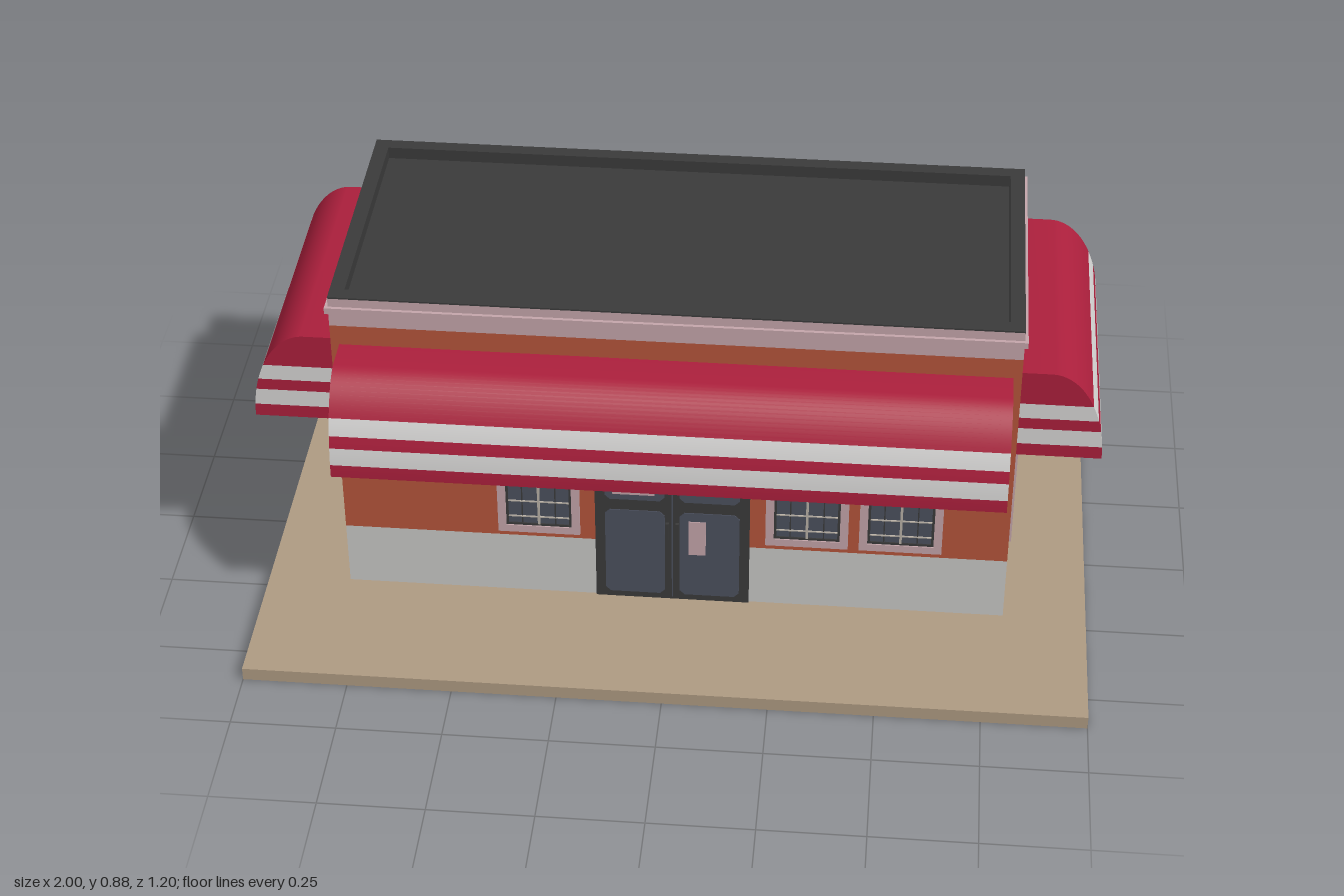
import * as THREE from 'three';
import { toCreasedNormals } from 'three/addons/utils/BufferGeometryUtils.js';

const mat = (name, color) => {
  const m = new THREE.MeshStandardMaterial({ color });
  m.name = name;
  return m;
};

export function createModel() {
  const M = {
    paving: mat('paving tan', 0xae9a82),
    plinth: mat('plinth grey', 0xc8c8c6),
    brick: mat('brick orange', 0xb5553a),
    trim: mat('trim pink', 0xc4a5aa),
    roof: mat('roof charcoal', 0x3a3a3a),
    red: mat('awning red', 0xab1f3c),
    white: mat('awning white', 0xd6d5d4),
    glass: mat('glass slate', 0x4b505e),
    bar: mat('glazing bar beige', 0xb9b1a6),
  };
  const model = new THREE.Group();
  model.name = 'shop';

  const add = (parent, name, geo, material, x = 0, y = 0, z = 0) => {
    const mesh = new THREE.Mesh(geo, material);
    mesh.name = name;
    mesh.position.set(x, y, z);
    parent.add(mesh);
    return mesh;
  };
  // Box given by its limits
  const block = (parent, name, material, x0, x1, y0, y1, z0, z1) =>
    add(parent, name, new THREE.BoxGeometry(x1 - x0, y1 - y0, z1 - z0), material,
      (x0 + x1) / 2, (y0 + y1) / 2, (z0 + z1) / 2);
  // Rectangular frame in the xy plane, extruded toward +z
  const frameGeo = (w, h, t, depth) => {
    const rect = (Type, a, b) => new Type([
      new THREE.Vector2(-a, -b), new THREE.Vector2(a, -b),
      new THREE.Vector2(a, b), new THREE.Vector2(-a, b)]);
    const shape = rect(THREE.Shape, w / 2, h / 2);
    shape.holes.push(rect(THREE.Path, w / 2 - t, h / 2 - t));
    return new THREE.ExtrudeGeometry(shape, { depth, bevelEnabled: false });
  };
  // Pane with chamfered corners
  const paneGeo = (x0, x1, y0, y1, c, depth) => new THREE.ExtrudeGeometry(
    new THREE.Shape([[x0 + c, y0], [x1 - c, y0], [x1, y0 + c], [x1, y1 - c],
      [x1 - c, y1], [x0 + c, y1], [x0, y1 - c], [x0, y0 + c]]
      .map(p => new THREE.Vector2(...p))), { depth, bevelEnabled: false });

  const X = 0.8, ZB = -0.44, ZF = 0.25, ZC = (ZB + ZF) / 2, W = 2 * X, D = ZF - ZB;

  // Ground slab and walls
  block(model, 'groundSlab', M.paving, -1, 1, 0, 0.033, -0.6, 0.6);
  block(model, 'plinth', M.plinth, -X, X, 0.033, 0.203, ZB, ZF);
  block(model, 'brickWalls', M.brick, -X, X, 0.203, 0.797, ZB, ZF);

  // Cornice, parapet and sunken roof
  block(model, 'corniceBase', M.trim, -X, X, 0.797, 0.842, ZB, ZF);
  const ring = (name, material, out, t, y0, y1) => {
    const geo = frameGeo(W + 2 * out, D + 2 * out, t, y1 - y0).rotateX(-Math.PI / 2);
    add(model, name, geo, material, 0, y0, ZC);
  };
  ring('corniceMoulding', M.trim, 0.008, 0.02, 0.834, 0.85);
  ring('corniceTop', M.trim, 0, 0.01, 0.842, 0.872);
  ring('parapetLining', M.roof, -0.01, 0.025, 0.842, 0.872);
  ring('parapetCap', M.roof, 0, 0.035, 0.872, 0.876);
  block(model, 'roofDeck', M.roof, -X + 0.03, X - 0.03, 0.842, 0.846, ZB + 0.03, ZF - 0.03);

  // Striped awnings: a rounded profile cut into horizontal bands
  const AY0 = 0.51, AY1 = 0.745;
  const reach = y => 0.07 + 0.13 * Math.sqrt(Math.max(0, 1 - ((y - AY0) / (AY1 - AY0)) ** 2));
  const levels = [AY0, 0.543, 0.587, 0.617, 0.658, AY1];
  const awning = (name, length, x, z, turn) => {
    const g = new THREE.Group();
    g.name = name;
    g.position.set(x, 0, z);
    g.rotation.y = turn;
    for (let i = 0; i < levels.length - 1; i++) {
      const a = levels[i], b = levels[i + 1], top = i === 4, n = top ? 14 : 4;
      const pts = [new THREE.Vector2(0, a)];
      for (let k = 0; k <= n; k++) {
        // ease the steps toward the flat crown
        const s = top ? Math.sin((k / n) * Math.PI / 2) : k / n;
        const y = a + (b - a) * s;
        pts.push(new THREE.Vector2(reach(y), y));
      }
      pts.push(new THREE.Vector2(0, b));
      const geo = new THREE.ExtrudeGeometry(new THREE.Shape(pts), { depth: length, bevelEnabled: false });
      geo.translate(0, 0, -length / 2);
      add(g, 'awningBand' + (i + 1), toCreasedNormals(geo, 0.6), i % 2 ? M.white : M.red);
    }
    model.add(g);
  };
  awning('frontAwning', 1.56, 0, ZF, -Math.PI / 2);
  awning('leftAwning', 0.65, X, -0.097, 0);
  awning('rightAwning', 0.65, -X, -0.097, Math.PI);

  // Barred windows, built facing +z
  const windowAt = (name, x, z, turn) => {
    const g = new THREE.Group();
    g.name = name;
    g.position.set(x, 0.357, z);
    g.rotation.y = turn;
    const w = 0.198, h = 0.276;
    add(g, 'windowFrame', frameGeo(w, h, 0.02, 0.008), M.trim);
    add(g, 'windowSash', frameGeo(w - 0.04, h - 0.04, 0.006, 0.005), M.roof);
    block(g, 'windowGlass', M.glass, -w / 2 + 0.02, w / 2 - 0.02, -h / 2 + 0.02, h / 2 - 0.02, 0, 0.002);
    block(g, 'uprightBar', M.bar, -0.003, 0.003, -h / 2 + 0.025, h / 2 - 0.025, 0.002, 0.006);
    for (const s of [-1, 1])
      block(g, 'sideBar', M.roof, s * 0.04 - 0.0015, s * 0.04 + 0.0015, -h / 2 + 0.025, h / 2 - 0.025, 0.002, 0.004);
    for (let i = -2; i <= 2; i++)
      block(g, 'crossBar', M.bar, -w / 2 + 0.025, w / 2 - 0.025, i * 0.046 - 0.0015, i * 0.046 + 0.0015, 0.002, 0.005);
    model.add(g);
  };
  for (const x of [-0.326, 0.319, 0.543]) windowAt('frontWindow', x, ZF, 0);
  for (const x of [-0.543, -0.322, 0.322, 0.543]) windowAt('backWindow', x, ZB, Math.PI);
  for (const s of [-1, 1]) windowAt(s > 0 ? 'leftWindow' : 'rightWindow', s * X, 0.094, s * Math.PI / 2);

  // Double entrance door with transom
  const door = new THREE.Group();
  door.name = 'entrance';
  door.position.set(-0.004, 0, ZF);
  block(door, 'doorFrame', M.roof, -0.186, 0.186, 0.033, 0.512, 0, 0.005);
  add(door, 'transomGlass', paneGeo(-0.16, 0.16, 0.468, 0.5, 0.004, 0.002), M.glass, 0, 0, 0.005);
  for (const s of [-1, 1]) {
    const [x0, x1] = s > 0 ? [0.018, 0.162] : [-0.162, -0.018];
    add(door, 'upperPane', paneGeo(x0, x1, 0.335, 0.442, 0.012, 0.002), M.glass, 0, 0, 0.005);
    add(door, 'lowerPane', paneGeo(x0, x1, 0.05, 0.303, 0.012, 0.002), M.glass, 0, 0, 0.005);
    block(door, 'doorHandle', M.roof, s * 0.012 - 0.004, s * 0.012 + 0.004, 0.22, 0.27, 0.005, 0.012);
  }
  block(door, 'doorGap', M.glass, -0.0015, 0.0015, 0.04, 0.455, 0.005, 0.006);
  // Blank notices stuck to the glass
  block(door, 'squareNotice', M.trim, -0.143, -0.111, 0.38, 0.417, 0.007, 0.009);
  block(door, 'wideNotice', M.trim, -0.143, -0.042, 0.352, 0.374, 0.007, 0.009);
  block(door, 'tallNotice', M.trim, 0.039, 0.081, 0.177, 0.278, 0.007, 0.009);
  model.add(door);

  return model;
}
